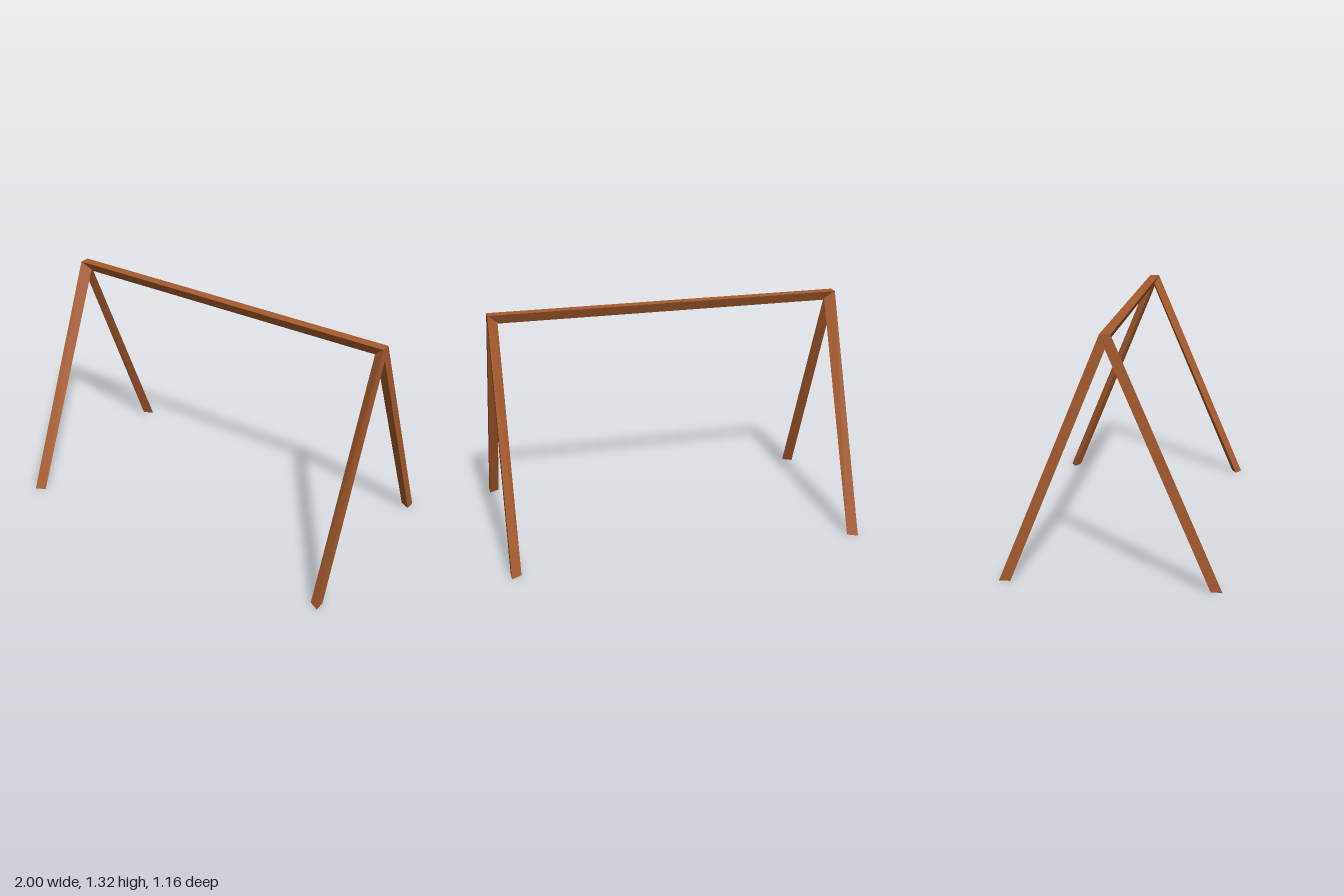
import * as THREE from 'three';
import { ConvexGeometry } from 'three/addons/geometries/ConvexGeometry.js';

// Swing-style trestle frame made of three-sided timbers.
const TOP = 1.315;      // height of the frame
const APEX_Z = -0.014;  // the ridge line sits slightly off centre
const HALF = 0.028;     // half the width of the ridge timber
const INNER_X = 0.945;  // inner edge of the legs

export function createModel() {
  const model = new THREE.Group();
  const wood = new THREE.MeshStandardMaterial({ color: 0xa85c2e });
  wood.name = 'brown wood';

  // Convex solid through a few corner points
  const solid = (name, corners) => {
    const points = corners.map((c) => new THREE.Vector3(...c));
    const mesh = new THREE.Mesh(new ConvexGeometry(points), wood);
    mesh.name = name;
    model.add(mesh);
  };

  // Ridge beam: flat on top, with one edge pointing down
  const beamEnd = (x) => [
    [x, TOP, APEX_Z + HALF],
    [x, TOP, APEX_Z - HALF],
    [x, 1.26, APEX_Z],
  ];
  solid('ridgeBeam', [...beamEnd(-1), ...beamEnd(1)]);

  for (const sx of [-1, 1]) {
    const end = sx > 0 ? 'Left' : 'Right';

    // Legs: flat outer face, with one edge pointing inward
    for (const sz of [-1, 1]) {
      solid((sz > 0 ? 'front' : 'back') + end + 'Leg', [
        [sx, 0, sz * 0.58],
        [sx, 0, sz * 0.52],
        [sx * INNER_X, 0, sz * 0.55],
        [sx, TOP, APEX_Z + sz * HALF],
        [sx, 1.24, APEX_Z],
        [sx * INNER_X, 1.28, APEX_Z],
      ]);
    }

    // Wedge closing the joint where the legs meet the beam
    solid('joint' + end, [
      [sx, TOP, APEX_Z + HALF],
      [sx, TOP, APEX_Z - HALF],
      [sx, 1.24, APEX_Z],
      [sx * INNER_X, 1.28, APEX_Z],
    ]);
  }

  return model;
}
